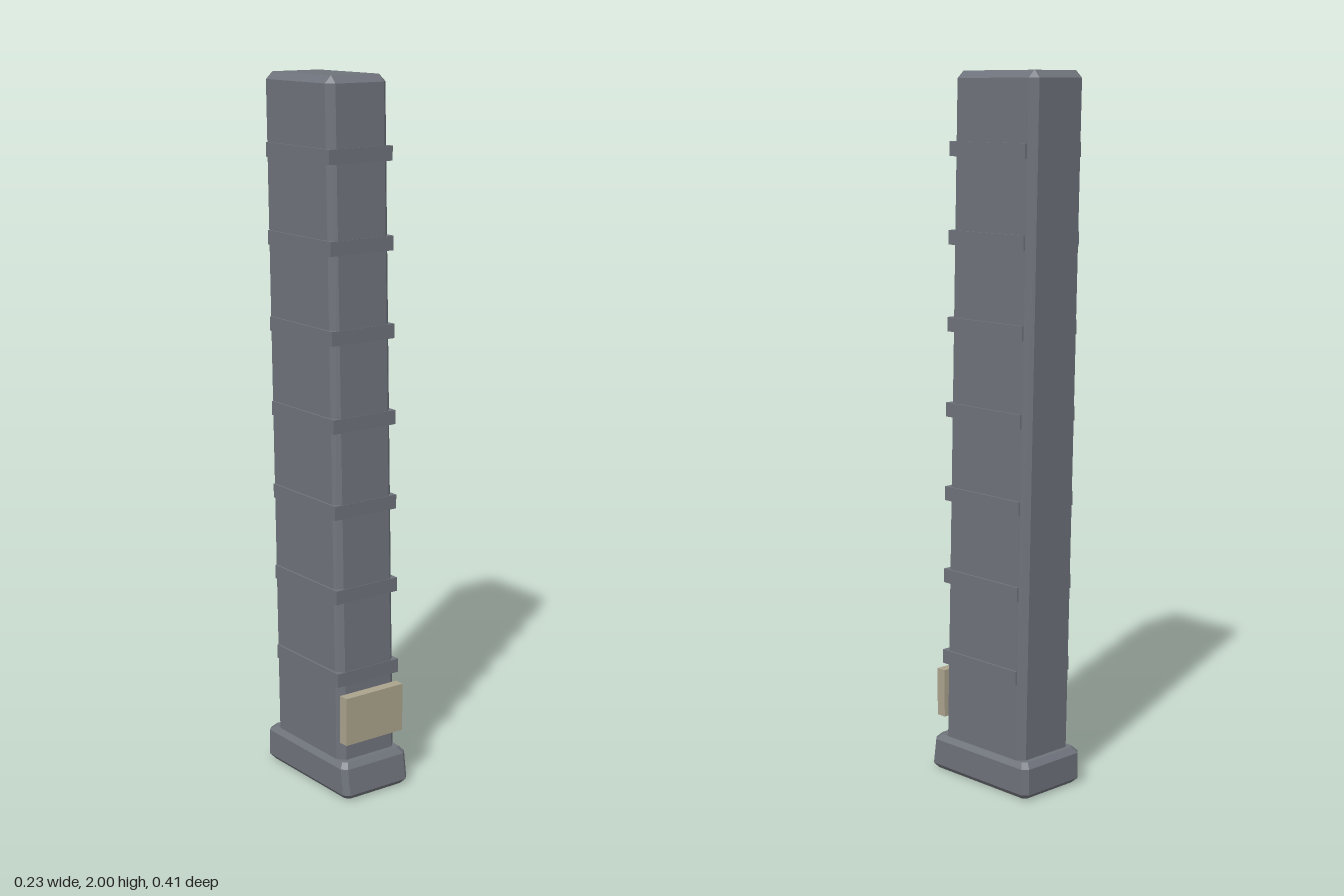
import * as THREE from 'three';

// Stacks chamfered rectangles; each section is [y, halfWidth, backZ, frontZ, cornerCut]
function loft(sections) {
  const rings = sections.map(([y, w, b, f, c]) => [
    [-w + c, f], [w - c, f], [w, f - c], [w, b + c],
    [w - c, b], [-w + c, b], [-w, b + c], [-w, f - c],
  ].map(([x, z]) => [x, y, z]));
  const pos = [];
  const tri = (...pts) => pts.forEach((p) => pos.push(...p));
  for (let r = 0; r < rings.length - 1; r++) {
    for (let i = 0; i < 8; i++) {
      const j = (i + 1) % 8;
      const lo = rings[r], hi = rings[r + 1];
      tri(lo[i], lo[j], hi[j]);
      tri(lo[i], hi[j], hi[i]);
    }
  }
  // End caps
  const bottom = rings[0], top = rings[rings.length - 1];
  for (let i = 1; i < 7; i++) {
    tri(top[0], top[i], top[i + 1]);
    tri(bottom[0], bottom[i + 1], bottom[i]);
  }
  const geo = new THREE.BufferGeometry();
  geo.setAttribute('position', new THREE.Float32BufferAttribute(pos, 3));
  geo.computeVertexNormals();
  return geo;
}

export function createModel() {
  const model = new THREE.Group();
  model.name = 'taperedCase';

  const grey = new THREE.MeshStandardMaterial({ color: 0x6e727a });
  grey.name = 'slate grey';
  const tan = new THREE.MeshStandardMaterial({ color: 0xaaa28c });
  tan.name = 'tan';

  const add = (name, geometry, material, parent = model) => {
    const mesh = new THREE.Mesh(geometry, material);
    mesh.name = name;
    parent.add(mesh);
    return mesh;
  };

  // The body leans gently backwards as it rises
  const frontAt = (y) => 0.163 - 0.0285 * y;
  const backAt = (y) => -0.157 - 0.0243 * y;

  // Tall chamfered body with a bevelled top
  add('body', loft([
    [0.08, 0.1, backAt(0.08), frontAt(0.08), 0.02],
    [1.98, 0.1, backAt(1.98), frontAt(1.98), 0.02],
    [2.0, 0.079, backAt(2) + 0.02, frontAt(2) - 0.02, 0.001],
  ]), grey);

  // Seven raised ribs that wrap the front and both sides
  const ribs = new THREE.Group();
  ribs.name = 'ribs';
  model.add(ribs);
  for (let i = 0; i < 7; i++) {
    const y = 0.345 + i * 0.241;
    const front = frontAt(y) + 0.001;
    const back = backAt(y) + 0.022;
    add('rib', new THREE.BoxGeometry(0.212, 0.04, front - back), grey, ribs)
      .position.set(0, y, (front + back) / 2);
  }

  // Bevelled base plate, its front sloping out towards the floor
  add('basePlate', loft([
    [0.0, 0.1, -0.175, 0.19, 0.012],
    [0.015, 0.113, -0.19, 0.203, 0.015],
    [0.09, 0.113, -0.19, 0.192, 0.015],
    [0.105, 0.1, -0.175, 0.178, 0.012],
  ]), grey);

  // Tan label block on the lower front
  add('frontLabel', new THREE.BoxGeometry(0.198, 0.14, 0.03), tan)
    .position.set(0, 0.23, 0.17);

  return model;
}
